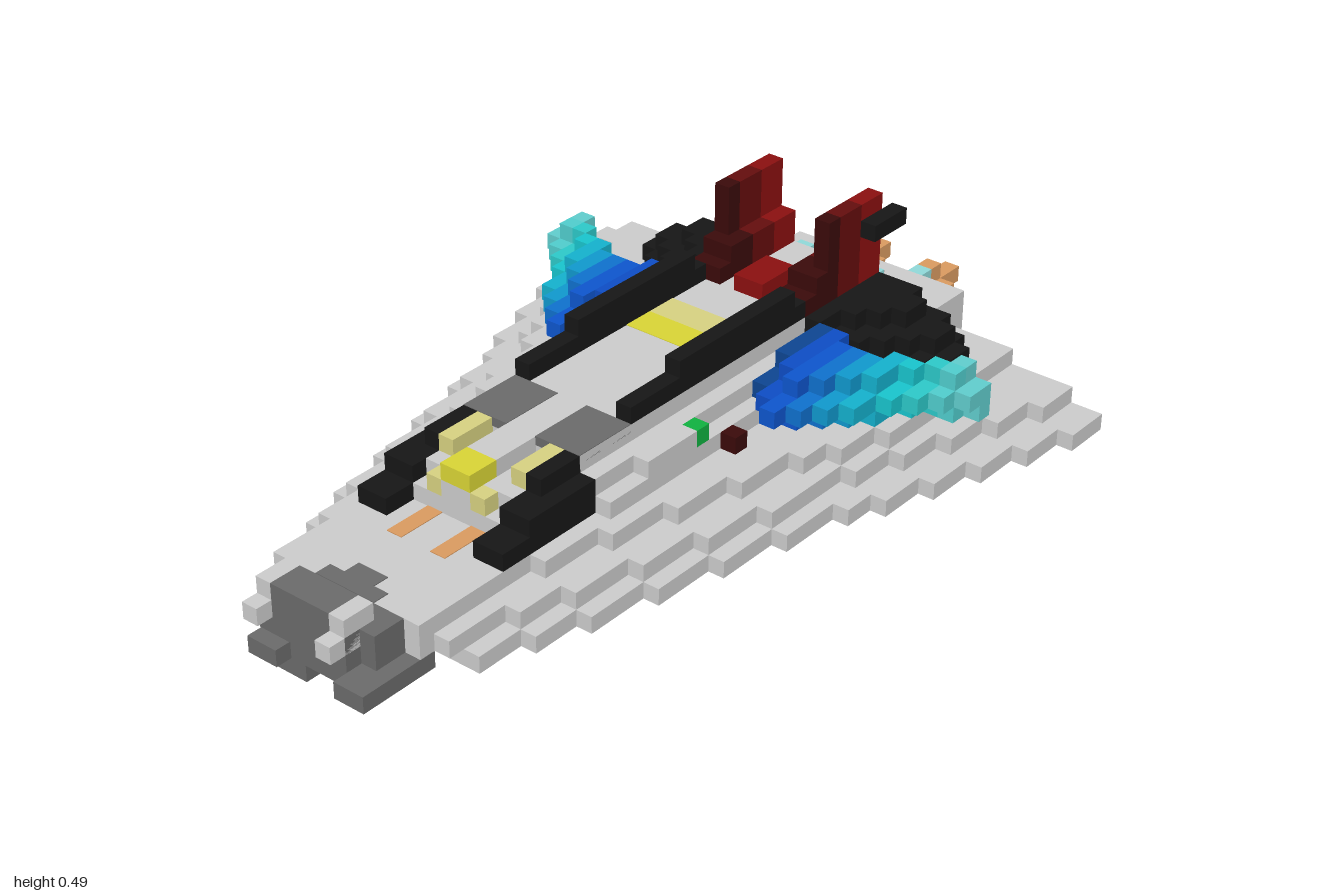
import * as THREE from 'three';

// One block of the model; x is measured from the centre line, z from the tail (0..53)
const V = 2 / 53;
const GREY = 0xcccccc, DARK = 0x6a6a6a, BLACK = 0x161616, RED = 0x8a1010, DEEP_RED = 0x3a0a0a;
const YELLOW = 0xd8d435, PALE = 0xd6d080, ORANGE = 0xd99a60, CYAN = 0x8fd8d8;

const materials = {};
const mat = (color) => (materials[color] ??= new THREE.MeshStandardMaterial({ color, flatShading: true }));

export function createModel() {
  const model = new THREE.Group();

  const block = (name, color, x0, x1, y0, y1, z0, z1) => {
    const mesh = new THREE.Mesh(new THREE.BoxGeometry((x1 - x0) * V, (y1 - y0) * V, (z1 - z0) * V), mat(color));
    mesh.position.set((x0 + x1) / 2 * V, (y0 + y1) / 2 * V, ((z0 + z1) / 2 - 26.5) * V);
    mesh.name = name;
    model.add(mesh);
  };
  const pair = (name, color, x0, x1, ...rest) => {
    block(name + 'Left', color, x0, x1, ...rest);
    block(name + 'Right', color, -x1, -x0, ...rest);
  };

  // Flat hull slab with a stepped outline; steps are [zStart, zEnd, halfWidth]
  const slab = (name, steps, y0, y1) => {
    const side = steps.flatMap(([a, b, w]) => [[w, a], [w, b]]);
    const outline = [...side, ...side.map(([x, z]) => [-x, z]).reverse()];
    const shape = new THREE.Shape(outline.map(([x, z]) => new THREE.Vector2(x * V, (26.5 - z) * V)));
    const geo = new THREE.ExtrudeGeometry(shape, { depth: (y1 - y0) * V, bevelEnabled: false });
    geo.rotateX(-Math.PI / 2).translate(0, y0 * V, 0);
    const mesh = new THREE.Mesh(geo, mat(GREY));
    mesh.name = name;
    model.add(mesh);
  };

  // Delta hull in three stepped layers
  const hull = [[4, 8, 6], [8, 11, 18], [11, 14, 17], [14, 17, 16], [17, 20, 15], [20, 23, 14], [23, 25, 13],
    [25, 29, 12], [29, 33, 11], [33, 37, 10], [37, 41, 9], [41, 44, 8], [44, 47, 7]];
  const nose = [[47, 48, 6], [48, 49, 5]];
  const inset = (f) => hull.map(([a, b, w]) => [a, b, a < 8 ? w : f(w)]);
  slab('hullLower', hull, 2, 3);
  slab('hullMiddle', [...inset((w) => (w > 12 ? w - 2 : w - 1)), ...nose], 3, 4);
  slab('hullUpper', [...inset((w) => Math.min(12, Math.max(w - 3, 5))), [47, 49, 5]], 4, 5);

  // Cargo bay below, between two low walls
  block('bayCeiling', BLACK, -4, 4, 1.95, 2.1, 12, 30);
  pair('bayWall', GREY, 4, 5, 1, 2, 12, 30);

  // Nose
  block('noseBlock', DARK, -4, 4, 3, 5, 49, 51);
  block('noseTip', DARK, -3, 3, 3, 5, 51, 52);
  block('noseRidge', DARK, -2, 2, 5, 6, 50, 52);
  pair('noseProng', GREY, 2, 3, 4, 5, 51, 53);
  pair('noseCheek', GREY, 2, 3, 5, 6, 50, 52);
  block('noseMark', DARK, -2, 2, 4.95, 5.05, 48, 49);
  block('noseMarkTip', DARK, -1, 1, 4.95, 5.05, 47, 48);

  // Landing gear and underside details
  block('noseGearStrut', DARK, -2, 2, 1, 3, 47, 51);
  pair('noseGearTop', DARK, 2, 4, 1, 2, 47, 52);
  pair('noseGearFoot', DARK, 1, 3, 0, 1, 48, 51);
  block('noseGearAxle', DARK, -1, 1, 0, 1, 49, 50);
  block('middleGearTop', DARK, -3, 3, 1, 2, 30, 34);
  block('middleGearFoot', DARK, -2, 2, 0, 1, 31, 33);
  block('bellyHatch', BLACK, -2, 2, 1, 2, 41, 43);
  block('bellyPatchLong', BLACK, -2, 2, 1.95, 2.1, 39, 45);
  block('bellyPatchWide', BLACK, -4, 4, 1.95, 2.1, 40, 44);
  block('rearBar', DARK, -4, 4, 1, 2, 10, 12);
  pair('rearBarInner', GREY, 4, 5, 1, 2, 10, 12);
  pair('rearSkid', DARK, 5, 7, 1, 2, 10, 12);
  pair('rearBarEnd', DARK, 7, 8, 1, 2, 10, 12);

  // Raised fuselage
  block('fuselageLower', GREY, -6, 6, 5, 6, 9, 36);
  block('fuselageMiddle', GREY, -5, 5, 6, 7, 9, 36);
  block('fuselageUpper', GREY, -4, 4, 7, 8, 10, 36);
  pair('fuselageShoulder', GREY, 5, 6, 6, 7, 29, 33);
  block('tailStep', GREY, -4, 4, 5, 6, 8, 9);
  block('roofBandRear', PALE, -3, 3, 7.95, 8.04, 20, 22);
  block('roofBandFront', YELLOW, -3, 3, 7.95, 8.04, 22, 24);
  pair('roofWindow', DARK, 1, 4, 7.5, 8.04, 32, 36.04);
  pair('roofRail', BLACK, 3, 4, 8, 9, 17, 32);
  pair('roofRailCrest', BLACK, 3, 4, 9, 10, 18, 28);

  // Cockpit
  block('cockpitBase', GREY, -3, 3, 5, 6, 36, 41);
  block('cockpitMiddle', GREY, -3, 3, 6, 7, 36, 40);
  block('cockpitSpine', GREY, -1, 1, 7, 8, 36, 39);
  block('cockpitLight', YELLOW, -1, 1, 7, 8, 39, 41);
  block('cockpitLightBase', GREY, -1, 1, 6, 7, 40, 41);
  pair('cockpitLamp', PALE, 2, 3, 7, 8, 36, 39);
  pair('cockpitLowerLamp', PALE, 1, 2, 6, 7, 40, 41);
  pair('deckStripe', ORANGE, 1, 2, 4.95, 5.05, 41, 44);
  pair('cockpitSideLower', BLACK, 3, 5, 5, 6, 36, 43);
  pair('cockpitSideMiddle', BLACK, 3, 5, 6, 7, 36, 41);
  pair('cockpitSideUpper', BLACK, 3, 4, 7, 8, 36, 39);
  pair('greenMarker', 0x10b040, 5, 6, 6, 7, 28, 29);
  pair('redMarker', DEEP_RED, 6, 7, 5, 6, 26, 27);

  // Swept wings, one column per step, shading from blue to cyan
  const columns = [[17, 23], [17, 24], [18, 25], [18, 24], [18, 23], [17, 22], [17, 20], [16, 19], [16, 18], [15, 17]];
  const blues = [0x0d4590, 0x0d4cc4, 0x0e55cc, 0x0f70cc, 0x1098cc, 0x14b0cc, 0x18c4cc, 0x2cc8c8, 0x50cccc, 0x60cccc];
  columns.forEach(([a, b], i) => {
    const x = 5 + i, front = Math.max(a + 1, b - 2);
    pair('wingLower', blues[i], x, x + 1, 5, 6, a, front);
    pair('wingMiddle', blues[i], x, x + 1, 6, 7, a, b);
    if (i < 9) pair('wingUpper', blues[i], x, x + 1, 7, 8, a, front);
  });
  pair('wingTip', 0x60cccc, 14, 15, 5, 7, 15, 16);
  pair('wingTipTop', 0x60cccc, 13, 14, 7, 8, 15, 16);

  // Black engine pods
  const pod = [[9, 10, 6], [10, 11, 10], [11, 13, 11], [13, 14, 10], [14, 15, 9], [15, 16, 8], [16, 17, 6]];
  for (const [a, b, w] of pod) {
    pair('podLower', BLACK, 4, w, 5, 6, a, b);
    pair('podMiddle', BLACK, 4, Math.max(w - 1, 5), 6, 7, a, b);
    if (a > 9) pair('podUpper', BLACK, 4, Math.max(w - 3, 5), 7, 8, a, b);
  }

  // Tail fins, darkening towards the front
  [RED, 0x640d0d, DEEP_RED].forEach((color, i) => {
    const z = 10 + 2 * i;
    pair('finBase', color, 2, 4, 8, 10, z, z + 2);
    pair('finBlade', color, 3, 4, 10, 13, z, Math.min(z + 2, 15));
  });
  pair('finFoot', DEEP_RED, 2, 4, 8, 9, 16, 17);
  pair('finStub', BLACK, 4, 5, 11, 12, 9, 12);
  block('roofBeacon', RED, -1, 1, 8, 9, 14, 17);

  // Rear platform and nozzles
  block('tailMark', DARK, -1, 1, 4.95, 5.05, 5, 6);
  pair('tailMarkSide', DARK, 1, 2, 4.95, 5.05, 6, 7);
  pair('tailLamp', CYAN, 2, 3, 5, 6, 7, 8);
  pair('tailLampUpper', CYAN, 2, 3, 6, 7, 8, 9);
  pair('nozzleTip', ORANGE, 2, 3, 3, 4, 0, 2);
  pair('nozzleBar', ORANGE, 1, 4, 3, 4, 2, 3);
  pair('nozzlePost', ORANGE, 2, 3, 2, 5, 2, 3);
  pair('nozzleCore', PALE, 1, 4, 3, 4, 3, 4);
  pair('nozzleTop', CYAN, 2, 3, 4, 5, 3, 4);
  pair('nozzleBottom', PALE, 2, 3, 2, 3, 3, 4);
  pair('bellyLamp', PALE, 2, 3, 1, 2, 5, 6);

  return model;
}
